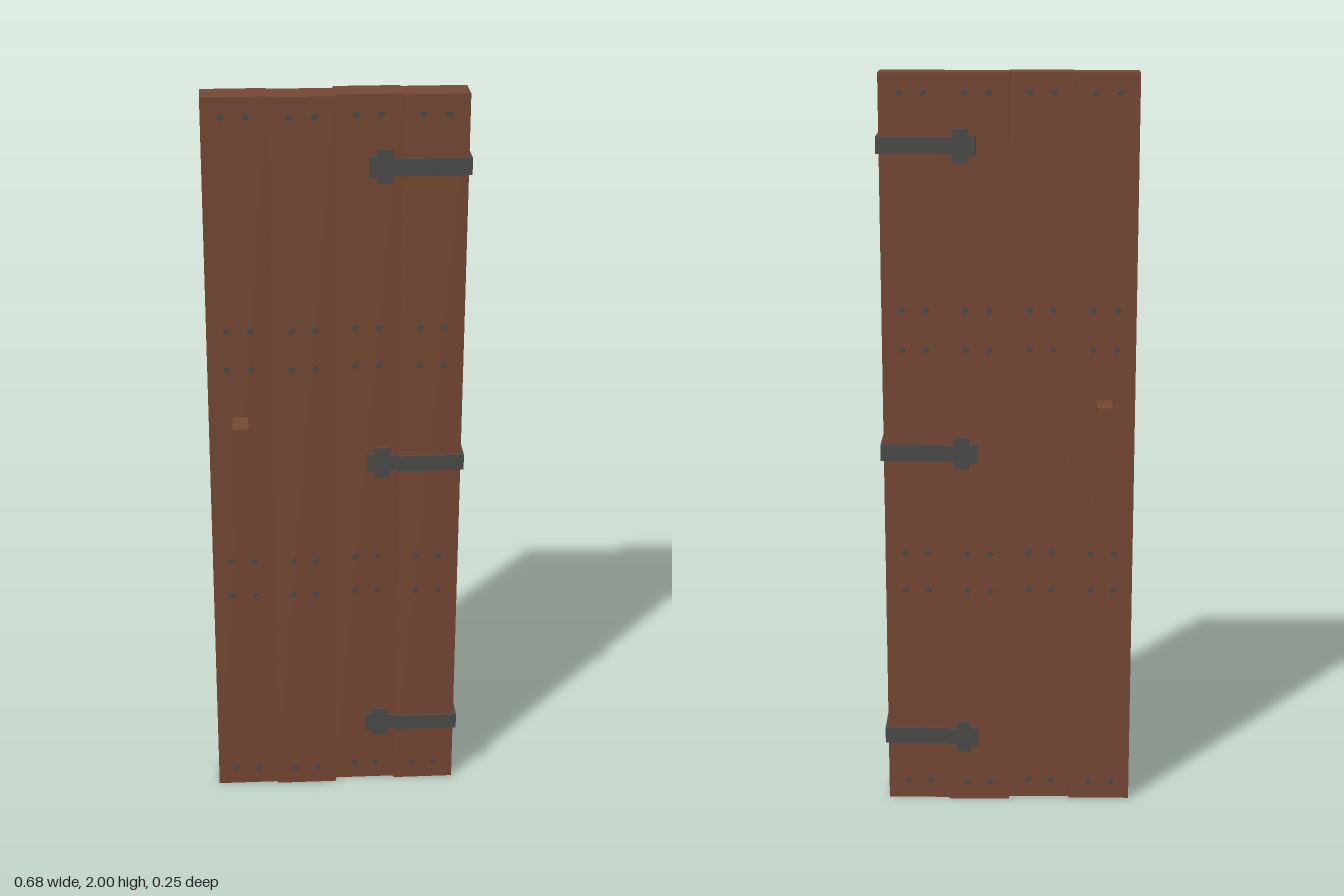
import * as THREE from 'three';

const wood = new THREE.MeshStandardMaterial({ color: 0x754733 });
wood.name = 'reddish brown wood';
const iron = new THREE.MeshStandardMaterial({ color: 0x4a4a48 });
iron.name = 'dark iron';

// Box given by its lower and upper limits on each axis
function box(parent, name, material, [x0, x1], [y0, y1], [z0, z1]) {
  const mesh = new THREE.Mesh(new THREE.BoxGeometry(x1 - x0, y1 - y0, z1 - z0), material);
  mesh.position.set((x0 + x1) / 2, (y0 + y1) / 2, (z0 + z1) / 2);
  mesh.name = name;
  parent.add(mesh);
}

// Cross-shaped end of a hinge strap, with its right arm running on to the plank edge
function crossShape() {
  const pts = [
    [0.08, -0.026], [0.1, -0.026], [0.1, -0.043], [0.14, -0.043], [0.14, -0.022], [0.164, -0.022],
  ];
  const mirrored = pts.slice().reverse().map(([x, y]) => [x, -y]);
  return new THREE.Shape([...pts, ...mirrored].map(([x, y]) => new THREE.Vector2(x, y)));
}

export function createModel() {
  const door = new THREE.Group();
  door.name = 'plankDoor';

  // Four planks, each set at a slightly different depth
  const planks = [
    { x: [-0.338, -0.172], z: [-0.038, 0.045], studs: [-0.288, -0.225] },
    { x: [-0.172, -0.005], z: [-0.03, 0.053], studs: [-0.12, -0.058] },
    { x: [-0.005, 0.162], z: [-0.047, 0.036], studs: [0.047, 0.109] },
    { x: [0.162, 0.329], z: [-0.038, 0.045], studs: [0.214, 0.276] },
  ];
  const rows = [0.052, 0.615, 0.72, 1.282, 1.388, 1.95];
  const studGeometry = new THREE.CylinderGeometry(0.008, 0.009, 0.008, 8).rotateX(Math.PI / 2);

  for (const { x, z, studs } of planks) {
    box(door, 'plank', wood, x, [0, 2], z);
    // Paired studs on both faces
    for (const y of rows) for (const sx of studs) for (const side of [0, 1]) {
      const stud = new THREE.Mesh(studGeometry, iron);
      stud.name = 'stud';
      stud.position.set(sx, y, z[side]);
      if (side === 0) stud.rotation.y = Math.PI;
      door.add(stud);
    }
  }

  // Three strap hinges wrapping round the right-hand edge
  const crossGeometry = new THREE.ExtrudeGeometry(crossShape(), { depth: 0.009, bevelEnabled: false });
  for (const y of [0.19, 1.003, 1.817]) {
    const hinge = new THREE.Group();
    hinge.name = 'strapHinge';
    for (const z of [0.036, -0.056]) {
      const cross = new THREE.Mesh(crossGeometry, iron);
      cross.name = 'hingeCross';
      cross.position.z = z;
      hinge.add(cross);
    }
    const height = [-0.022, 0.022];
    box(hinge, 'frontStrap', iron, [0.162, 0.337], height, [0.045, 0.053]);
    box(hinge, 'backStrap', iron, [0.162, 0.337], height, [-0.047, -0.038]);
    box(hinge, 'edgeStrap', iron, [0.329, 0.337], height, [-0.038, 0.045]);
    hinge.position.y = y;
    door.add(hinge);
  }

  // Square-cut pull handle on each face
  const hx = [-0.276, -0.235];
  for (const [name, arm, grip] of [
    ['frontHandle', [0.045, 0.083], [0.083, 0.125]],
    ['backHandle', [-0.083, -0.038], [-0.125, -0.083]],
  ]) {
    const handle = new THREE.Group();
    handle.name = name;
    box(handle, 'grip', wood, hx, [0.86, 1.147], grip);
    box(handle, 'lowerArm', wood, hx, [0.86, 0.9], arm);
    box(handle, 'upperArm', wood, hx, [1.106, 1.147], arm);
    door.add(handle);
  }
  return door;
}
